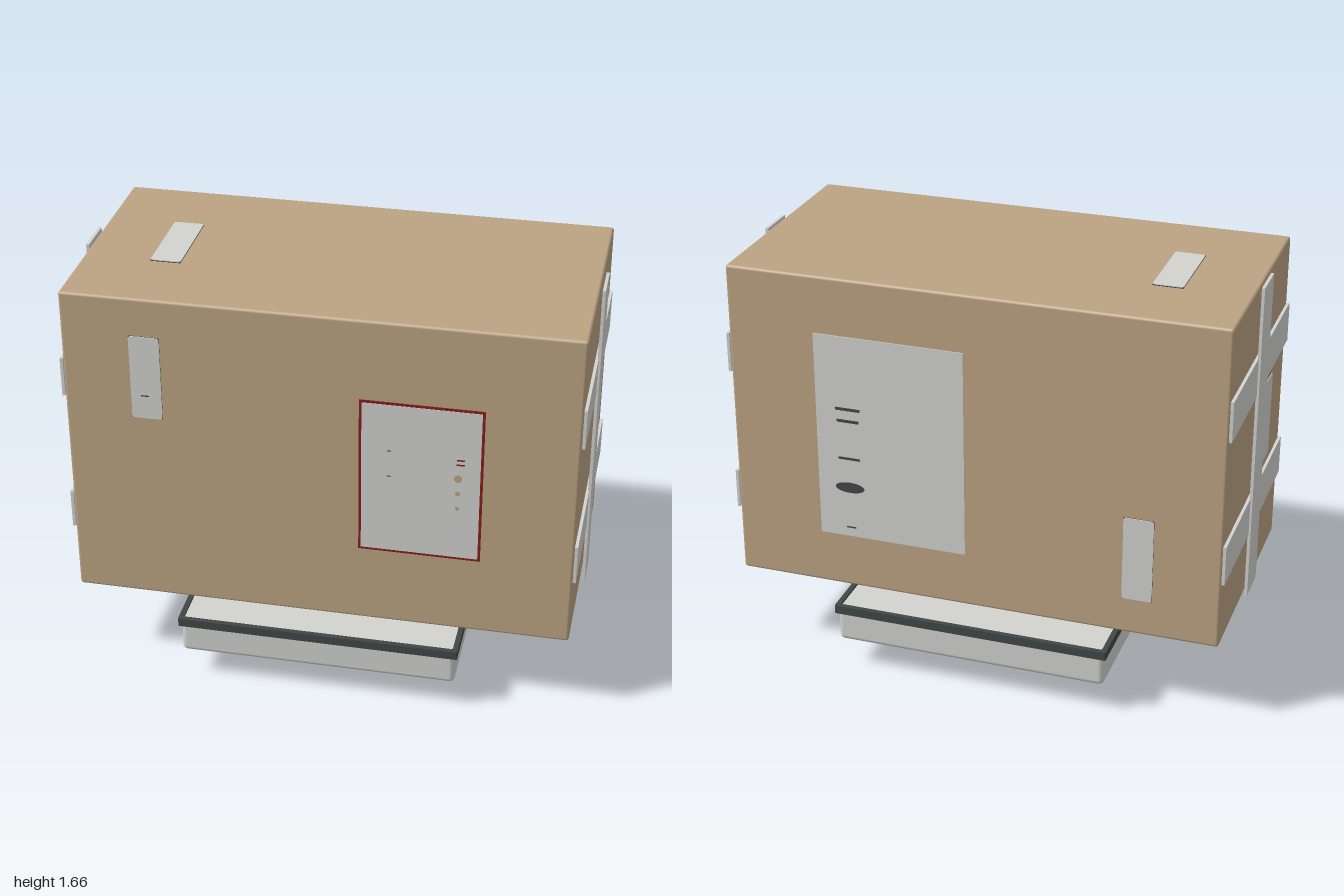
import * as THREE from 'three';
import { RoundedBoxGeometry } from 'three/addons/geometries/RoundedBoxGeometry.js';

const flat = (name, color) => {
  const m = new THREE.MeshStandardMaterial({ color });
  m.name = name;
  return m;
};

// Rectangle with rounded corners, centred on the origin
function roundedRect(w, h, r) {
  const s = new THREE.Shape();
  const x = w / 2, y = h / 2;
  s.moveTo(-x + r, -y);
  s.lineTo(x - r, -y);
  s.quadraticCurveTo(x, -y, x, -y + r);
  s.lineTo(x, y - r);
  s.quadraticCurveTo(x, y, x - r, y);
  s.lineTo(-x + r, y);
  s.quadraticCurveTo(-x, y, -x, y - r);
  s.lineTo(-x, -y + r);
  s.quadraticCurveTo(-x, -y, -x + r, -y);
  return s;
}

export function createModel() {
  const model = new THREE.Group();
  model.name = 'packedCrate';

  const tan = flat('cardboard tan', 0xbca383);
  const light = flat('light grey', 0xd2d2cf);
  const dark = flat('dark slate', 0x414747);
  const red = flat('dark red', 0x861c1c);

  const add = (parent, name, geometry, material, x = 0, y = 0, z = 0) => {
    const mesh = new THREE.Mesh(geometry, material);
    mesh.name = name;
    mesh.position.set(x, y, z);
    parent.add(mesh);
    return mesh;
  };
  const box = (w, h, d) => new THREE.BoxGeometry(w, h, d);

  // Crate body with softly rounded edges
  const W = 0.98, D = 0.49, BOTTOM = 0.345, TOP = 1.65;
  const MID = (TOP + BOTTOM) / 2, H = TOP - BOTTOM;
  add(model, 'crateBody', new RoundedBoxGeometry(2 * W, H, 2 * D, 3, 0.012), tan, 0, MID, 0);

  // Crossed straps on both ends
  for (const side of [1, -1]) {
    const straps = new THREE.Group();
    straps.name = side > 0 ? 'leftStraps' : 'rightStraps';
    for (const y of [0.7, 1.29]) {
      add(straps, 'horizontalStrap', box(0.012, 0.16, 2 * D), light, side * 0.986, y, 0);
    }
    add(straps, 'verticalStrap', box(0.012, H, 0.16), light, side * 0.994, MID, 0);
    model.add(straps);
  }

  // Groups whose local +z points out of each crate face
  const face = (name, x, y, z, rx, ry) => {
    const g = new THREE.Group();
    g.name = name;
    g.position.set(x, y, z);
    g.rotation.set(rx, ry, 0);
    model.add(g);
    return g;
  };
  const front = face('frontLabels', 0, 0, D, 0, 0);
  const back = face('backLabels', 0, 0, -D, 0, Math.PI);
  const left = face('leftLabel', W, 0, 0, 0, Math.PI / 2);
  const right = face('rightLabel', -W, 0, 0, 0, -Math.PI / 2);
  const top = face('topLabel', 0, TOP, 0, -Math.PI / 2, 0);

  // Small upright label with dark corners behind a rounded light panel
  const smallLabel = (parent, x, y) => {
    add(parent, 'labelBacking', box(0.118, 0.346, 0.003), dark, x, y, 0.0015);
    const panel = new THREE.ExtrudeGeometry(roundedRect(0.118, 0.346, 0.012),
      { depth: 0.003, bevelEnabled: false, curveSegments: 4 });
    add(parent, 'labelPanel', panel, light, x, y, 0.003);
  };
  smallLabel(front, -0.658, 1.324);
  smallLabel(back, 0.658, 0.67);
  smallLabel(left, 0.196, 0.998);
  smallLabel(right, 0.196, 0.998);
  smallLabel(top, -0.658, 0.004);
  add(front, 'labelMark', box(0.03, 0.005, 0.002), dark, -0.663, 1.248, 0.006);

  // Large front label with red border and small marks
  add(front, 'frontLabelBorder', box(0.47, 0.655, 0.003), red, 0.39, 0.9975, 0.0015);
  add(front, 'frontLabelPanel', box(0.45, 0.635, 0.003), light, 0.39, 0.9975, 0.0035);
  [[1.03, 0.016], [0.965, 0.01], [0.9, 0.008]].forEach(([y, r]) => {
    add(front, 'tanDot', new THREE.CircleGeometry(r, 16), tan, 0.532, y, 0.0065);
  });
  for (const y of [1.09, 1.11]) {
    add(front, 'redMark', box(0.03, 0.006, 0.002), red, 0.54, y, 0.005);
  }
  for (const y of [1.01, 1.12]) {
    add(front, 'darkMark', box(0.014, 0.004, 0.002), dark, 0.27, y, 0.005);
  }

  // Large back label with dark marks
  add(back, 'backLabelPanel', box(0.6, 0.85, 0.004), light, -0.33, 0.995, 0.002);
  [[1.12, 0.1, 0.012], [1.07, 0.09, 0.012], [0.91, 0.09, 0.01], [0.61, 0.04, 0.006]]
    .forEach(([y, w, h]) => add(back, 'printBar', box(w, h, 0.002), dark, -0.5, y, 0.004));
  const oval = add(back, 'printOval', new THREE.CircleGeometry(0.5, 24), dark, -0.5, 0.785, 0.0055);
  oval.scale.set(0.12, 0.045, 1);

  // Tray under the crate: rounded pan, inner panel and dark rim
  add(model, 'trayPan', new RoundedBoxGeometry(1.1, 0.15, 1.1, 4, 0.022), light, 0, 0.195, 0);
  add(model, 'trayPanel', box(1.09, 0.022, 1.09), light, 0, 0.26, 0);
  const rimShape = roundedRect(1.12, 1.12, 0.006);
  rimShape.holes.push(new THREE.Path(roundedRect(1.08, 1.08, 0.006).getPoints(4)));
  const rim = new THREE.ExtrudeGeometry(rimShape, { depth: 0.035, bevelEnabled: false, curveSegments: 4 });
  rim.rotateX(-Math.PI / 2);
  add(model, 'trayRim', rim, dark, 0, 0.245, 0);

  // Upright fin below the tray and a small tab beside it
  add(model, 'supportFin', box(0.956, 0.122, 0.025), dark, 0, 0.061, 0);
  add(model, 'underTab', box(0.08, 0.009, 0.02), tan, 0.36, 0.1165, 0.05);

  return model;
}
